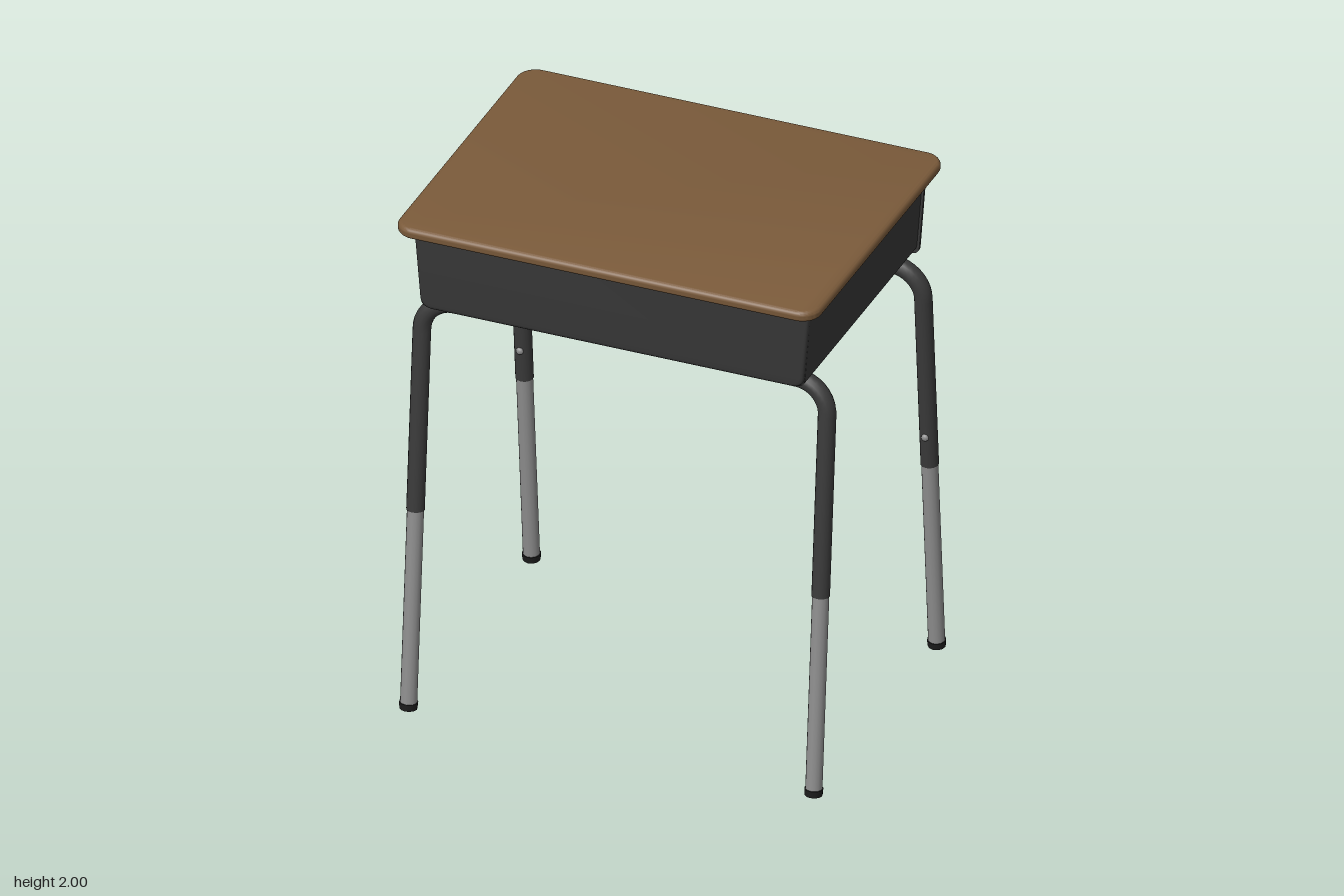
import * as THREE from 'three';
import { toCreasedNormals } from 'three/addons/utils/BufferGeometryUtils.js';

const mat = (name, color, side = THREE.FrontSide) => {
  const m = new THREE.MeshStandardMaterial({ color, side });
  m.name = name;
  return m;
};

export function createModel() {
  const wood = mat('brown wood', 0x7a5a3a);
  const steel = mat('dark painted steel', 0x3a3a3a);
  const tray = mat('charcoal tray', 0x363636, THREE.DoubleSide);
  const chrome = mat('grey metal', 0x8e8e8e);
  const rubber = mat('black rubber', 0x1c1c1c);

  const desk = new THREE.Group();
  desk.name = 'desk';
  const add = (parent, name, geometry, material, x = 0, y = 0, z = 0) => {
    const mesh = new THREE.Mesh(geometry, material);
    mesh.name = name;
    mesh.position.set(x, y, z);
    parent.add(mesh);
    return mesh;
  };

  // Rounded top with a bullnose edge
  const roundedRect = (w, d, r) => {
    const s = new THREE.Shape();
    const x = w / 2 - r, y = d / 2 - r;
    s.absarc(x, y, r, 0, Math.PI / 2);
    s.absarc(-x, y, r, Math.PI / 2, Math.PI);
    s.absarc(-x, -y, r, Math.PI, Math.PI * 1.5);
    s.absarc(x, -y, r, Math.PI * 1.5, Math.PI * 2);
    return s;
  };
  const bevel = 0.018;
  const topGeo = new THREE.ExtrudeGeometry(roundedRect(1.606 - 2 * bevel, 1.206 - 2 * bevel, 0.055), {
    depth: 0.007, bevelEnabled: true, bevelSize: bevel, bevelThickness: bevel, bevelSegments: 5, curveSegments: 8,
  });
  topGeo.rotateX(-Math.PI / 2);
  add(desk, 'deskTop', toCreasedNormals(topGeo, 0.6), wood, 0, 1.957 + bevel, 0.01);

  // Tray outline: flared sides with rounded lower corners, grown outward by g
  const outline = (g) => {
    const top = 1.955, low = 1.641 - g, xt = 0.752 + g, xb = 0.728 + g, r = 0.03;
    const s = new THREE.Shape();
    s.moveTo(-xt, top);
    s.lineTo(-xb - 0.002, low + r);
    s.quadraticCurveTo(-xb, low, -xb + r, low);
    s.lineTo(xb - r, low);
    s.quadraticCurveTo(xb, low, xb + 0.002, low + r);
    s.lineTo(xt, top);
    return s;
  };
  // Open-topped band between two outlines
  const band = (outer, inner, depth) => {
    const shape = new THREE.Shape([
      ...outline(outer).getPoints(6),
      ...outline(inner).getPoints(6).reverse(),
    ]);
    return toCreasedNormals(new THREE.ExtrudeGeometry(shape, { depth, bevelEnabled: false }), 0.6);
  };
  add(desk, 'trayShell', band(0, -0.008, 1.015), tray, 0, 0, -0.495);
  add(desk, 'trayRearRim', band(0.009, -0.012, 0.012), tray, 0, 0, -0.506);
  const frontGeo = new THREE.ExtrudeGeometry(outline(-0.014), {
    depth: 0.004, bevelEnabled: true, bevelSize: 0.014, bevelThickness: 0.013, bevelSegments: 3, curveSegments: 6,
  });
  frontGeo.translate(0, 0, 0.518);
  // Keep the bevel below the desk top
  const fp = frontGeo.attributes.position;
  for (let i = 0; i < fp.count; i++) fp.setY(i, Math.min(fp.getY(i), 1.957));
  add(desk, 'trayFront', toCreasedNormals(frontGeo, 0.6), tray);

  // Mounting lips and screws beneath the top
  const screwGeo = new THREE.CylinderGeometry(0.009, 0.007, 0.006, 8);
  for (const side of [-1, 1]) {
    add(desk, 'sideLip', new THREE.BoxGeometry(0.03, 0.005, 0.94), tray, side * 0.762, 1.9545, 0.02);
    for (const z of [-0.38, 0.02, 0.42]) add(desk, 'lipScrew', screwGeo, chrome, side * 0.768, 1.95, z);
  }
  add(desk, 'frontLip', new THREE.BoxGeometry(1.4, 0.005, 0.03), tray, 0, 1.9545, 0.543);
  for (const x of [-0.48, -0.16, 0.16, 0.48]) add(desk, 'lipScrew', screwGeo, chrome, x, 1.95, 0.55);

  // Angle supports running between the two frames
  for (const side of [-1, 1]) {
    add(desk, 'supportWeb', new THREE.BoxGeometry(0.04, 0.072, 0.82), steel, side * 0.525, 1.602, -0.02);
    add(desk, 'supportFlange', new THREE.BoxGeometry(0.06, 0.008, 0.78), steel, side * 0.475, 1.636, -0.02);
    for (const z of [-0.27, -0.02, 0.23]) add(desk, 'supportScrew', screwGeo, chrome, side * 0.475, 1.629, z);
  }

  // Bent tube frames, each tilted outward about its top rail
  const railY = 1.602, legX = 0.77, bend = 0.118, tilt = Math.atan(0.132 / railY);
  const length = railY / Math.cos(tilt), sleeve = 0.826, k = bend * 0.448;
  const v = (x, y) => new THREE.Vector3(x, y, 0);
  const path = new THREE.CurvePath();
  path.add(new THREE.LineCurve3(v(-legX, -sleeve), v(-legX, -bend)));
  path.add(new THREE.CubicBezierCurve3(v(-legX, -bend), v(-legX, -k), v(-legX + k, 0), v(-legX + bend, 0)));
  path.add(new THREE.LineCurve3(v(-legX + bend, 0), v(legX - bend, 0)));
  path.add(new THREE.CubicBezierCurve3(v(legX - bend, 0), v(legX - k, 0), v(legX, -k), v(legX, -bend)));
  path.add(new THREE.LineCurve3(v(legX, -bend), v(legX, -sleeve)));
  const tubeGeo = new THREE.TubeGeometry(path, 150, 0.033, 14, false);
  const legLength = length - sleeve;

  for (const end of [1, -1]) {
    const frame = new THREE.Group();
    frame.name = end > 0 ? 'frontFrame' : 'backFrame';
    frame.position.set(0, railY, end > 0 ? 0.405 : -0.447);
    frame.rotation.x = -end * tilt;
    desk.add(frame);
    add(frame, 'bentTube', tubeGeo, steel);
    for (const x of [-legX, legX]) {
      const cap = add(frame, 'tubeEnd', new THREE.CircleGeometry(0.033, 14), steel, x, -sleeve, 0);
      cap.rotation.x = Math.PI / 2;
      add(frame, 'lowerLeg', new THREE.CylinderGeometry(0.0305, 0.0305, legLength, 14), chrome,
        x, -sleeve - legLength / 2 + 0.006, 0);
      add(frame, 'foot', new THREE.CylinderGeometry(0.034, 0.032, 0.026, 12), rubber, x, -length + 0.016, 0);
      // Height adjustment button on the inner face
      const button = add(frame, 'heightButton', new THREE.SphereGeometry(0.014, 10, 8), chrome,
        x, -0.695, -end * 0.034);
      button.scale.z = 0.7;
    }
  }
  return desk;
}
